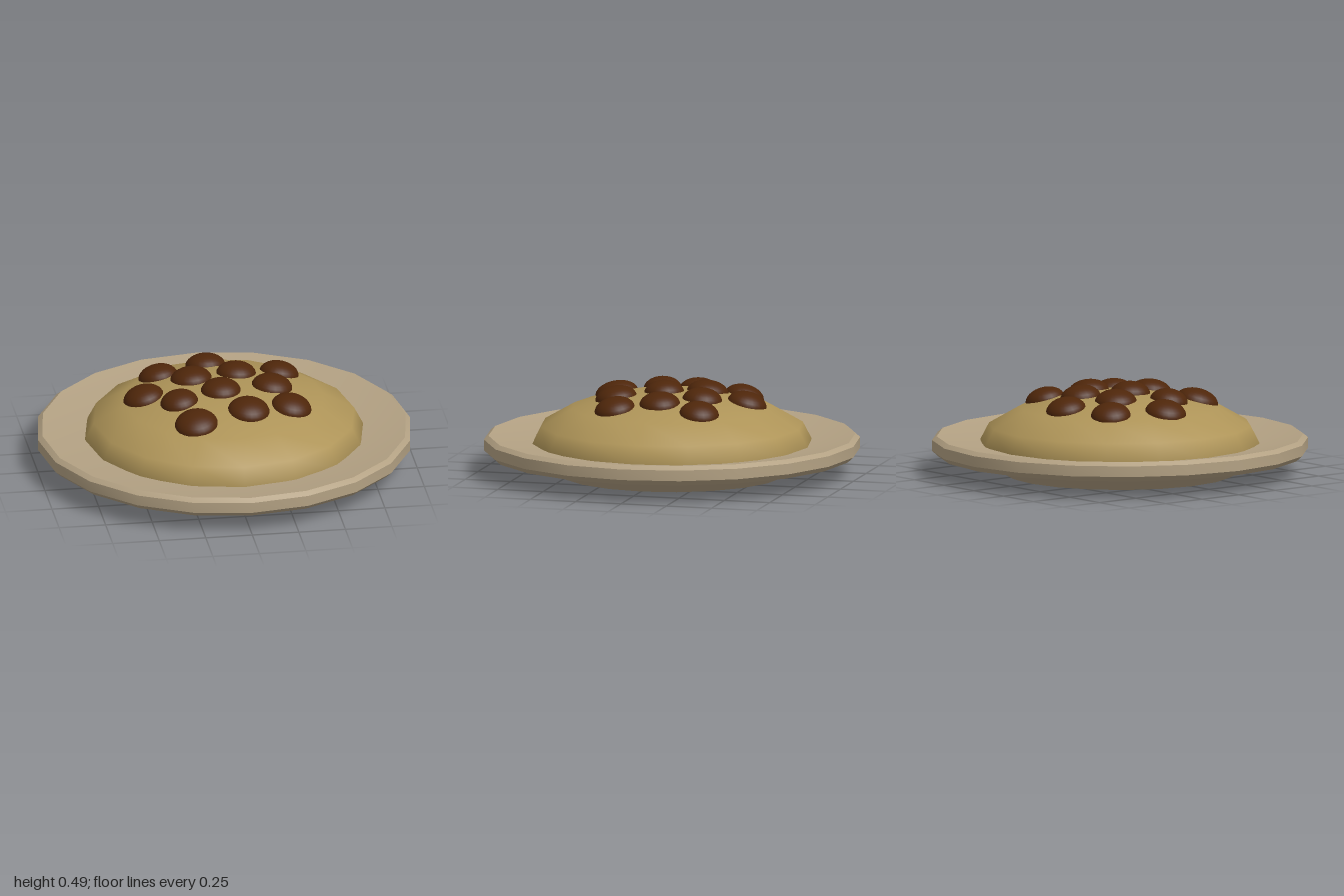
import * as THREE from 'three';
import { toCreasedNormals } from 'three/addons/utils/BufferGeometryUtils.js';

const mat = (color, flatShading = false) =>
  new THREE.MeshStandardMaterial({ color, flatShading, side: THREE.DoubleSide });

const lathe = (profile, sides) =>
  new THREE.LatheGeometry(profile.map(([r, y]) => new THREE.Vector2(r, y)), sides);

export function createModel() {
  const model = new THREE.Group();
  const rimMat = mat(0xb3a183);
  const footMat = mat(0xb3a183, true);
  const moundMat = mat(0xae9458);
  const ballMat = mat(0x4e260a);

  const add = (parent, name, geometry, material) => {
    const mesh = new THREE.Mesh(geometry, material);
    mesh.name = name;
    parent.add(mesh);
    return mesh;
  };

  // Plate: hollow shell with a chamfered rim, a shallow dished top and an open foot
  const plate = new THREE.Group();
  plate.name = 'plate';
  model.add(plate);
  const rim = lathe([
    [0.78, 0.1], [0.97, 0.1], [1, 0.128], [1, 0.185], [0.975, 0.205], [0.72, 0.165], [0, 0.165],
  ], 20);
  add(plate, 'rim', toCreasedNormals(rim, 0.5), rimMat);
  add(plate, 'foot', lathe([[0.607, 0], [0.78, 0.1]], 20), footMat);

  // Mound of food: squashed half sphere, its edge sunk just through the plate top
  const R = 0.757, H = 0.29, base = 0.15;
  const dome = new THREE.SphereGeometry(1, 16, 4, 0, Math.PI * 2, 0, Math.PI / 2);
  add(model, 'mound', dome.scale(R, H, R).translate(0, base, 0), moundMat);

  // Half balls set into the mound, tilted to its slope: x, z, radius
  const balls = [
    [-0.31, -0.315, 0.106], [-0.04, -0.405, 0.107], [0.335, -0.245, 0.106],
    [0.095, -0.195, 0.107], [-0.155, -0.155, 0.112], [-0.43, -0.035, 0.11],
    [-0.26, 0.125, 0.102], [-0.025, 0.05, 0.107], [0.26, -0.005, 0.11],
    [0.09, 0.285, 0.112], [0.33, 0.225, 0.109], [-0.205, 0.365, 0.115],
  ];
  const ballGeo = new THREE.SphereGeometry(1, 24, 8, 0, Math.PI * 2, 0, Math.PI / 2);
  const up = new THREE.Vector3(0, 1, 0);
  for (const [x, z, r] of balls) {
    const h = H * Math.sqrt(1 - (x * x + z * z) / (R * R));
    const normal = new THREE.Vector3(x / (R * R), h / (H * H), z / (R * R)).normalize();
    const ball = add(model, 'meatball', ballGeo, ballMat);
    ball.scale.set(r, 0.068, r);
    ball.position.set(x, base + h, z).addScaledVector(normal, -0.015);
    ball.quaternion.setFromUnitVectors(up, normal);
  }
  return model;
}
